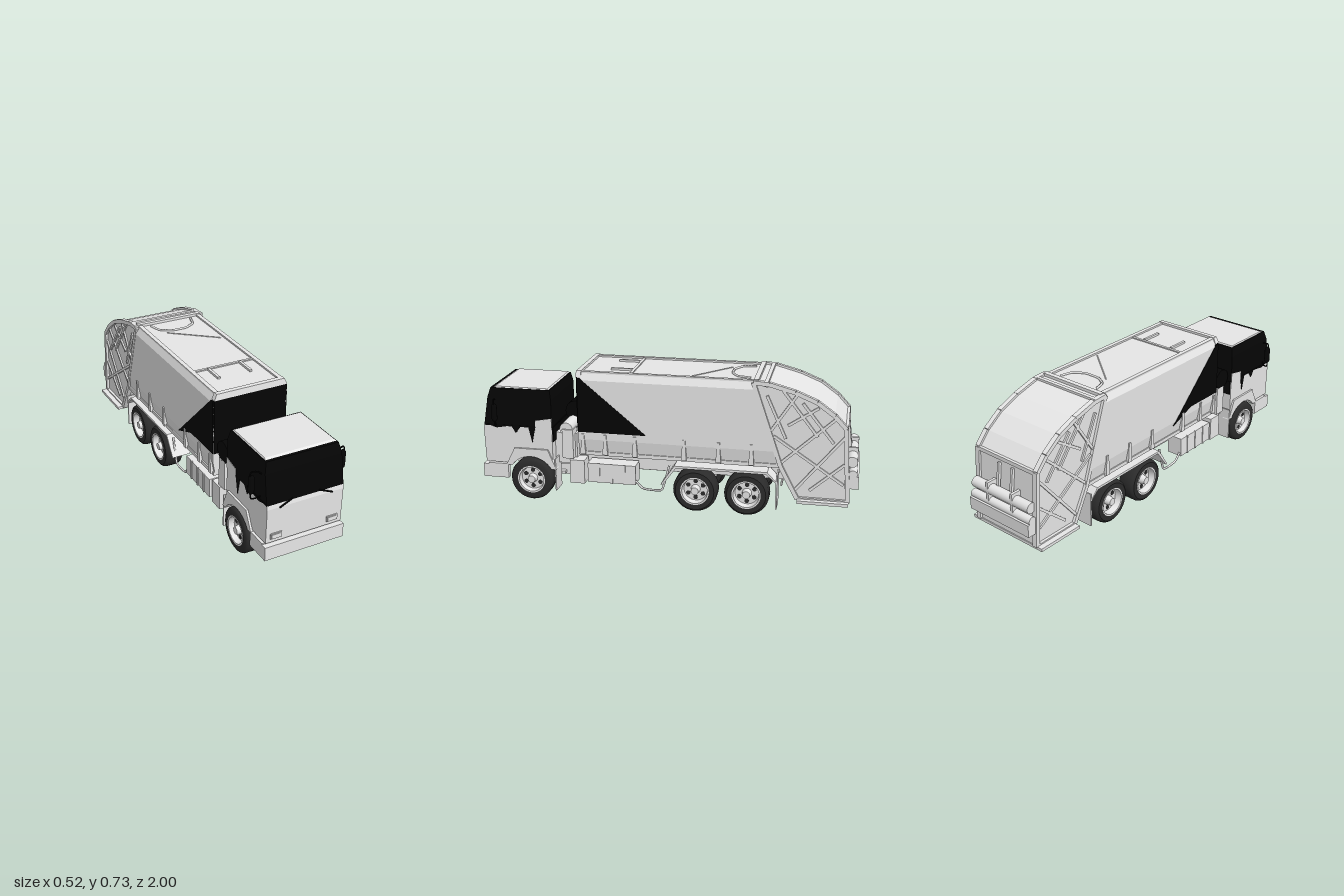
import * as THREE from 'three';
import { toCreasedNormals } from 'three/addons/utils/BufferGeometryUtils.js';

const paint = new THREE.MeshStandardMaterial({ color: 0xe6e6e6 }); paint.name = 'light grey paint';
const black = new THREE.MeshStandardMaterial({ color: 0x050505 }); black.name = 'black glass';
const rubber = new THREE.MeshStandardMaterial({ color: 0x2b2b2b }); rubber.name = 'tyre rubber';

const V = (x, y, z) => new THREE.Vector3(x, y, z);

export function createModel() {
  const truck = new THREE.Group();
  truck.name = 'refuseTruck';

  const add = (name, geo, mat = paint, parent = truck) => {
    const m = new THREE.Mesh(geo, mat);
    m.name = name;
    parent.add(m);
    return m;
  };
  // Box given by its limits on each axis
  const box = (name, x0, x1, y0, y1, z0, z1, mat) => add(name,
    new THREE.BoxGeometry(x1 - x0, y1 - y0, z1 - z0)
      .translate((x0 + x1) / 2, (y0 + y1) / 2, (z0 + z1) / 2), mat);
  // Side profile in (z, y), extruded from x0 to x1
  const side = (name, outline, x0, x1, mat) => {
    const s = Array.isArray(outline) ? new THREE.Shape(outline.map(p => new THREE.Vector2(...p))) : outline;
    return add(name, new THREE.ExtrudeGeometry(s, { depth: x1 - x0, bevelEnabled: false, curveSegments: 16 })
      .rotateY(-Math.PI / 2).translate(x1, 0, 0), mat);
  };
  // Same profile on both sides, between distances x0 and x1 from the middle
  const sides = (name, shape, x0, x1, mat) => {
    side(name + 'Left', shape, x0, x1, mat);
    side(name + 'Right', shape, -x1, -x0, mat);
  };
  const boxes = (name, x0, x1, ...rest) => {
    box(name + 'Left', x0, x1, ...rest);
    box(name + 'Right', -x1, -x0, ...rest);
  };
  // Straight bar between two points
  const beam = (name, a, b, w, d, mat) => {
    const dir = b.clone().sub(a);
    const m = add(name, new THREE.BoxGeometry(w, dir.length(), d), mat);
    m.position.copy(a).add(b).multiplyScalar(0.5);
    m.quaternion.setFromUnitVectors(V(0, 1, 0), dir.normalize());
  };
  // Cylinder lying along x
  const roller = (name, r, x0, x1, y, z, mat) => add(name,
    new THREE.CylinderGeometry(r, r, x1 - x0, 18).rotateZ(Math.PI / 2).translate((x0 + x1) / 2, y, z), mat);
  const pipe = (name, pts, r, mat) => add(name,
    new THREE.TubeGeometry(new THREE.CatmullRomCurve3(pts, false, 'catmullrom', 0.2), 24, r, 6), mat);
  // Box whose bottom and top rectangles differ: [halfWidth, zBack, zFront]
  const taper = (name, y0, y1, lo, hi, mat) => {
    const g = new THREE.BoxGeometry(1, 1, 1), p = g.attributes.position;
    for (let i = 0; i < p.count; i++) {
      const top = p.getY(i) > 0, [w, zb, zf] = top ? hi : lo;
      p.setXYZ(i, Math.sign(p.getX(i)) * w, top ? y1 : y0, p.getZ(i) > 0 ? zf : zb);
    }
    g.computeVertexNormals();
    return add(name, g, mat);
  };

  // ---- Cab ----
  const cab = new THREE.Shape();
  cab.moveTo(0.985, 0.2); cab.lineTo(0.99, 0.385); cab.lineTo(0.985, 0.41);
  cab.lineTo(0.61, 0.41); cab.lineTo(0.61, 0.2); cab.lineTo(0.625, 0.2);
  cab.absarc(0.73, 0.115, 0.135, Math.PI - 0.681, 0.681, true);
  side('cabLower', cab, -0.205, 0.205);
  taper('cabWindows', 0.405, 0.56, [0.206, 0.61, 0.986], [0.204, 0.61, 0.96], black);
  taper('cabShoulder', 0.56, 0.612, [0.204, 0.61, 0.96], [0.192, 0.62, 0.945], black);
  taper('cabRoof', 0.609, 0.618, [0.19, 0.622, 0.935], [0.184, 0.632, 0.918]);
  sides('windowLowerEdge', [[0.975, 0.412], [0.915, 0.395], [0.835, 0.41], [0.81, 0.37],
    [0.78, 0.41], [0.74, 0.41], [0.72, 0.32], [0.7, 0.412]], 0.203, 0.2075, black);
  sides('rearPillarBase', [[0.7, 0.405], [0.7, 0.445], [0.61, 0.462], [0.61, 0.405]], 0.2, 0.2075);
  box('cabBackPanel', -0.2, 0.2, 0.33, 0.41, 0.604, 0.611, black);
  // Bumper with side returns
  box('bumper', -0.215, 0.215, 0.115, 0.188, 0.965, 1.0);
  boxes('bumperEnd', 0.185, 0.215, 0.115, 0.195, 0.86, 0.97);
  box('bumperBack', -0.18, 0.18, 0.17, 0.21, 0.9, 0.97);
  for (const s of [1, -1]) {
    // Headlights as a raised surround and lens
    const x = s * 0.152;
    box('headlightSurround', x - 0.03, x + 0.03, 0.219, 0.249, 0.98, 0.991);
    box('headlightLens', x - 0.025, x + 0.025, 0.224, 0.244, 0.985, 0.994);
    beam('wiper', V(s * 0.07, 0.415, 0.99), V(s * 0.142, 0.385, 0.994), 0.006, 0.006, black);
    // Mirrors
    const m = add('mirror', new THREE.CapsuleGeometry(0.015, 0.068, 4, 12), black);
    m.position.set(s * 0.245, 0.49, 0.91);
    pipe('mirrorArm', [V(s * 0.2, 0.545, 0.93), V(s * 0.22, 0.555, 0.915), V(s * 0.25, 0.553, 0.91),
      V(s * 0.248, 0.42, 0.91), V(s * 0.222, 0.415, 0.915), V(s * 0.2, 0.43, 0.93)], 0.004, black);
  }
  // Front wheel arches and flaps
  const arch = new THREE.Shape();
  arch.moveTo(0.87, 0.19); arch.lineTo(0.82, 0.288); arch.lineTo(0.635, 0.288); arch.lineTo(0.59, 0.18);
  arch.lineTo(0.611, 0.18);
  arch.absarc(0.73, 0.115, 0.13, Math.PI - 0.52, 0.62, true);
  sides('frontFender', arch, 0.17, 0.216);
  boxes('frontFlap', 0.118, 0.215, 0.06, 0.24, 0.592, 0.598);

  // ---- Gear between cab and body ----
  box('engineCover', -0.15, 0.15, 0.2, 0.37, 0.49, 0.61);
  roller('airCleaner', 0.056, -0.19, 0.0, 0.447, 0.54, black);
  roller('exhaustSilencer', 0.035, 0.04, 0.18, 0.4, 0.54);
  boxes('airDuct', 0.12, 0.19, 0.24, 0.4, 0.5, 0.56);

  // ---- Compactor body, slanted at the rear ----
  const half = [[0.192, 0.28], [0.205, 0.36], [0.205, 0.68], [0.188, 0.715]];
  const section = new THREE.Shape([...half, ...half.map(([x, y]) => [-x, y]).reverse()]
    .map(p => new THREE.Vector2(...p)));
  const bodyGeo = new THREE.ExtrudeGeometry(section, { depth: 1, bevelEnabled: false });
  const bp = bodyGeo.attributes.position;
  const rearAt = y => -0.45 - 0.15 * (0.715 - y) / 0.435;
  for (let i = 0; i < bp.count; i++) bp.setZ(i, bp.getZ(i) < 0.5 ? rearAt(bp.getY(i)) : 0.465);
  bodyGeo.computeVertexNormals();
  add('compactorBody', bodyGeo);
  box('bodyFrontPanel', -0.2, 0.2, 0.4, 0.695, 0.463, 0.47, black);
  side('bodyBlackPanelRight', [[0.465, 0.69], [0.465, 0.4], [0.23, 0.4], [0.08, 0.34], [0.445, 0.69]], -0.2075, -0.2, black);
  side('bodyBlackPanelLeft', [[0.465, 0.69], [0.465, 0.4], [0.1, 0.4], [0.45, 0.69]], 0.2, 0.2075, black);
  // Roof rails, crossbars and hatch
  boxes('roofRail', 0.165, 0.188, 0.71, 0.724, -0.45, 0.47);
  taper('roofFrontRail', 0.695, 0.727, [0.202, 0.445, 0.474], [0.188, 0.445, 0.47]);
  box('roofCrossbar', -0.165, 0.165, 0.713, 0.721, 0.18, 0.195);
  boxes('roofLug', 0.083, 0.097, 0.713, 0.726, 0.195, 0.31);
  box('roofRearBar', -0.19, 0.19, 0.71, 0.729, -0.475, -0.45);
  box('roofRearRail', -0.2, 0.2, 0.695, 0.722, -0.525, -0.505);
  beam('roofSeam', V(-0.08, 0.715, -0.31), V(0.15, 0.715, -0.12), 0.004, 0.004);
  pipe('roofHose', [V(-0.12, 0.718, -0.43), V(-0.1, 0.718, -0.36), V(-0.04, 0.718, -0.325),
    V(0.04, 0.718, -0.325), V(0.1, 0.718, -0.36), V(0.12, 0.718, -0.43)], 0.006);
  // Lower side rail with tapered gussets
  boxes('bodySill', 0.17, 0.2, 0.272, 0.292, -0.59, 0.465);
  for (const z of [0.44, 0.32, 0.16, -0.1, -0.28, -0.45])
    sides('gusset', [[z - 0.014, 0.28], [z + 0.014, 0.28], [z + 0.007, 0.39], [z - 0.007, 0.39]], 0.18, 0.211);

  // ---- Tailgate ----
  const gate = [[-0.45, 0.715], [-0.6, 0.28], [-0.69, 0.11], [-0.945, 0.11], [-0.932, 0.3],
    [-0.92, 0.5], [-0.86, 0.565], [-0.77, 0.63], [-0.66, 0.675], [-0.53, 0.71]];
  side('tailgate', gate, -0.192, 0.192);
  const bars = [[[-0.54, 0.46], [-0.67, 0.66]], [[-0.59, 0.29], [-0.88, 0.56]], [[-0.67, 0.15], [-0.92, 0.46]],
    [[-0.52, 0.65], [-0.62, 0.43]], [[-0.7, 0.62], [-0.86, 0.42]], [[-0.56, 0.44], [-0.92, 0.2]],
    [[-0.63, 0.5], [-0.78, 0.6]], [[-0.75, 0.16], [-0.92, 0.31]], [[-0.6, 0.68], [-0.78, 0.45]]];
  for (const s of [1, -1]) {
    gate.forEach((a, i) => {
      const b = gate[(i + 1) % gate.length];
      beam('tailgateFrame', V(s * 0.194, a[1], a[0]), V(s * 0.194, b[1], b[0]), 0.026, 0.022);
    });
    for (const [a, b] of bars) beam('tailgateBrace', V(s * 0.193, a[1], a[0]), V(s * 0.193, b[1], b[0]), 0.016, 0.014);
    beam('tailgateRod', V(s * 0.045, 0.34, -0.945), V(s * 0.045, 0.47, -0.928), 0.014, 0.014);
  }
  boxes('rollerBracket', 0.075, 0.09, 0.26, 0.37, -0.985, -0.92);
  box('loadingPlate', -0.236, 0.236, 0.098, 0.114, -0.95, -0.69);
  roller('rearRoller', 0.028, -0.19, 0.19, 0.325, -0.958);
  box('rearHopperLip', -0.2, 0.2, 0.185, 0.25, -0.995, -0.925);
  roller('rearLowerRoller', 0.022, -0.2, 0.2, 0.262, -0.965);
  box('tailgateSeam', -0.19, 0.19, 0.485, 0.505, -0.93, -0.905);

  // ---- Chassis ----
  boxes('chassisRail', 0.065, 0.09, 0.17, 0.245, -0.62, 0.95);
  for (const z of [0.9, 0.6, 0.3, 0.05, -0.3, -0.58]) box('crossMember', -0.07, 0.07, 0.18, 0.235, z - 0.015, z + 0.015);
  box('subframe', -0.11, 0.11, 0.24, 0.285, -0.6, 0.47);
  box('engineSump', -0.06, 0.06, 0.1, 0.22, 0.55, 0.85);
  add('gearbox', new THREE.CylinderGeometry(0.05, 0.035, 0.2, 14).rotateX(Math.PI / 2).translate(0, 0.17, 0.42));
  add('driveShaft', new THREE.CylinderGeometry(0.015, 0.015, 0.75, 10).rotateX(Math.PI / 2).translate(0, 0.15, -0.03));
  boxes('sideTank', 0.11, 0.2, 0.12, 0.225, 0.16, 0.42);
  boxes('batteryBox', 0.11, 0.195, 0.105, 0.235, 0.44, 0.52);
  for (const s of [1, -1]) {
    pipe('sideGuard', [V(s * 0.19, 0.14, 0.16), V(s * 0.19, 0.1, 0.12), V(s * 0.19, 0.1, 0.02), V(s * 0.19, 0.24, -0.02)], 0.006);
    for (const z of [0.22, 0.29, 0.36]) box('tankStrap', s * 0.2 - 0.004, s * 0.2 + 0.004, 0.118, 0.228, z - 0.006, z + 0.006);
  }
  // Rear mudguards
  const guard = [[0.01, 0.14], [-0.06, 0.236], [-0.53, 0.236], [-0.58, 0.19], [-0.58, 0.2], [-0.535, 0.248],
    [-0.05, 0.248], [0.022, 0.14]];
  sides('rearMudguard', guard, 0.11, 0.215);
  boxes('rearFlap', 0.115, 0.215, 0.05, 0.235, -0.588, -0.58);

  // ---- Wheels and axles ----
  const R = 0.117;
  const lathe = pts => toCreasedNormals(new THREE.LatheGeometry(
    pts.map(p => new THREE.Vector2(...p)), 32).rotateZ(-Math.PI / 2), 0.6);
  const tyreGeo = h => lathe([[0.074, -h], [0.102, -h], [0.112, -h * 0.85], [R, -h * 0.6], [R, h * 0.6],
    [0.112, h * 0.85], [0.102, h], [0.074, h]]);
  const rimGeo = h => lathe([[0, -h * 0.4], [0.05, -h * 0.4], [0.076, -h * 0.9], [0.076, h * 1.02],
    [0.068, h * 1.02], [0.062, h * 0.3], [0, h * 0.3]]);
  const wheel = (s, x, z, h) => {
    const w = new THREE.Group();
    w.name = 'wheel';
    w.position.set(s * x, R, z);
    if (s < 0) w.rotation.y = Math.PI;
    truck.add(w);
    add('tyre', tyreGeo(h), rubber, w);
    add('rim', rimGeo(h), paint, w);
    add('hub', new THREE.CylinderGeometry(0.02, 0.026, h * 0.8, 16).rotateZ(-Math.PI / 2).translate(h * 0.6, 0, 0), paint, w);
    // Dark openings between the spokes
    for (let i = 0; i < 6; i++) {
      const hole = add('rimOpening', new THREE.CylinderGeometry(0.012, 0.012, 0.004, 12)
        .rotateZ(-Math.PI / 2).translate(h * 0.3, 0.045, 0), rubber, w);
      hole.rotation.x = i * Math.PI / 3;
    }
  };
  for (const s of [1, -1]) {
    wheel(s, 0.18, 0.73, 0.041);
    for (const z of [-0.16, -0.43]) wheel(s, 0.169, z, 0.05);
    roller('brakeDrum', 0.06, s * 0.128 - 0.014, s * 0.128 + 0.014, R, 0.73);
    beam('frontSpring', V(s * 0.08, 0.12, 0.88), V(s * 0.08, 0.12, 0.58), 0.03, 0.015);
  }
  box('frontAxle', -0.15, 0.15, 0.07, 0.105, 0.71, 0.75);
  for (const z of [-0.16, -0.43]) {
    roller('rearAxle', 0.025, -0.16, 0.16, R, z);
    add('differential', new THREE.SphereGeometry(0.05, 16, 12).translate(0, R, z));
  }
  return truck;
}
